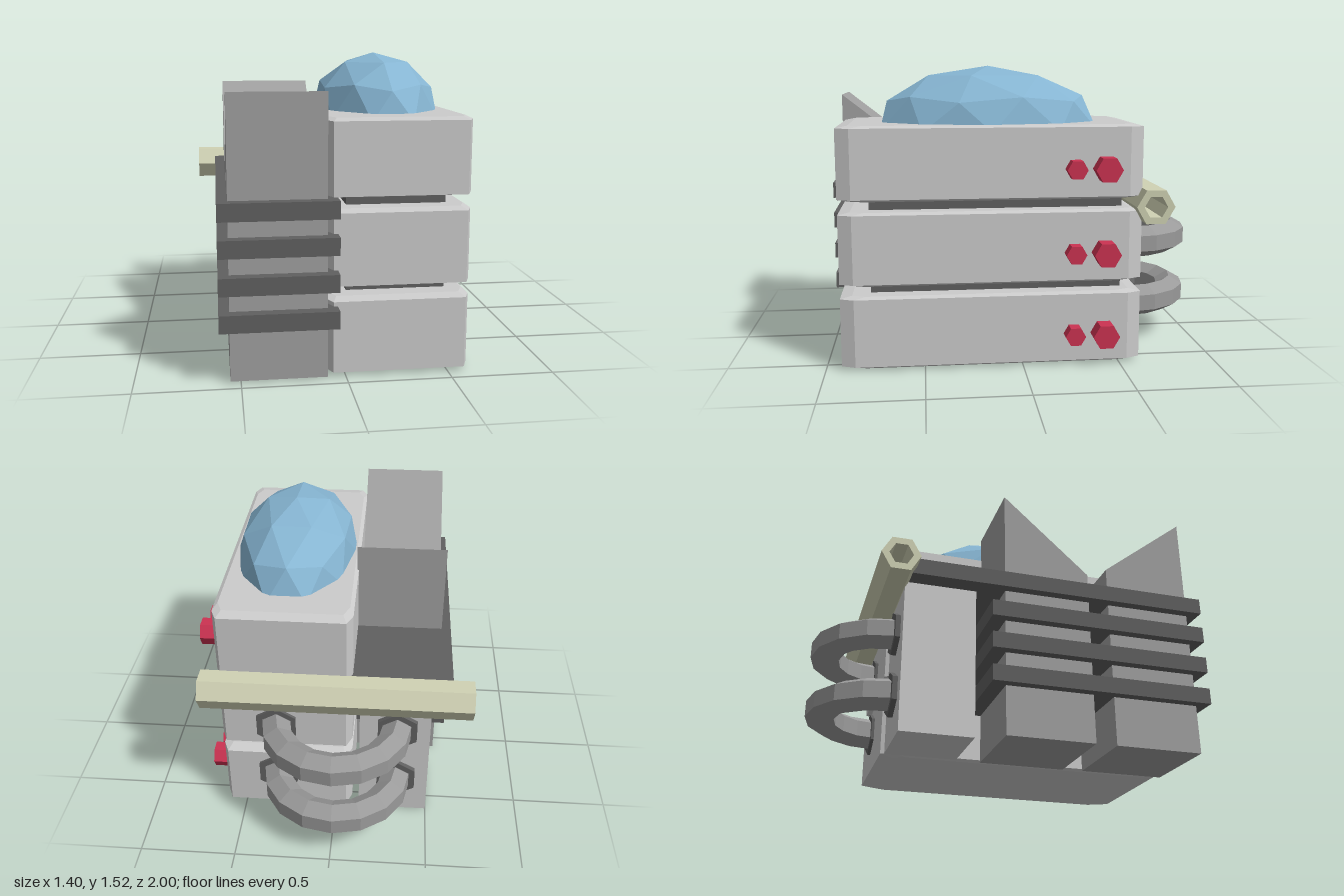
import * as THREE from 'three';
import { ConvexGeometry } from 'three/addons/geometries/ConvexGeometry.js';

const mat = (color) => new THREE.MeshStandardMaterial({ color, flatShading: true });
const light = mat(0xcccccc), mid = mat(0xa0a0a0), dark = mat(0x606060);
const blue = mat(0x86b5d2), red = mat(0xcc3352), beige = mat(0xd0d2b4);

export function createModel() {
  const model = new THREE.Group();

  const add = (name, geometry, material, x = 0, y = 0, z = 0) => {
    const mesh = new THREE.Mesh(geometry, material);
    mesh.name = name;
    mesh.position.set(x, y, z);
    model.add(mesh);
    return mesh;
  };

  // Box given by its limits on each axis
  const box = (name, material, [x0, x1], [y0, y1], [z0, z1]) =>
    add(name, new THREE.BoxGeometry(x1 - x0, y1 - y0, z1 - z0), material,
      (x0 + x1) / 2, (y0 + y1) / 2, (z0 + z1) / 2);

  // Block with cut corners and shallow bevels above and below
  const chamferedBlock = (hx, hy, hz) => {
    const points = [];
    for (const [y, ix, iz] of [[hy, 0.02, 0.06], [hy - 0.012, 0, 0]]) {
      for (const sx of [-1, 1]) for (const sy of [-1, 1]) for (const sz of [-1, 1]) {
        points.push(new THREE.Vector3(sx * (hx - ix), sy * y, sz * (hz - iz - 0.07)));
        points.push(new THREE.Vector3(sx * (hx - ix - 0.03), sy * y, sz * (hz - iz)));
      }
    }
    return new ConvexGeometry(points);
  };

  // Hexagonal bar along x, corners pointing to front and back
  const hexBar = (radius, length) =>
    new THREE.CylinderGeometry(radius, radius, length, 6).rotateZ(Math.PI / 2);

  // Three stacked blocks on a dark core, each with a pair of side bolts
  for (const y of [0.195, 0.62, 1.047]) {
    add('mainBlock', chamferedBlock(0.35, 0.187, 0.765), light, 0.26, y, 0.155);
  }
  box('core', dark, [0.02, 0.51], [0.1, 1.1], [-0.52, 0.77]);
  for (const y of [0.165, 0.588, 1.015]) {
    add('largeBolt', hexBar(0.068, 0.12), red, 0.64, y, -0.415);
    add('smallBolt', hexBar(0.052, 0.1), red, 0.63, y, -0.26);
  }

  // Faceted dome, a vertex at its peak
  const dome = new THREE.IcosahedronGeometry(1, 1)
    .rotateX(-Math.atan((1 + Math.sqrt(5)) / 2))
    .scale(0.335, 0.325, 0.59);
  add('dome', dome, blue, 0.26, 1.195, 0.15);

  // Side towers with slanted tops that face each other
  const tower = (name, x1, zHigh, zLow, yLow) => {
    const points = [];
    for (const x of [-0.55, x1]) {
      for (const [y, z] of [[0.01, zHigh], [1.36, zHigh], [0.01, zLow], [yLow, zLow]]) {
        points.push(new THREE.Vector3(x, y, z));
      }
    }
    add(name, new ConvexGeometry(points), mid);
  };
  tower('frontTower', -0.09, 0.94, 0.48, 1.0);
  tower('middleTower', -0.082, -0.09, 0.37, 0.95);
  box('rearColumn', light, [-0.5, -0.13], [0, 0.8], [-0.6, -0.23]);

  // Cooling fins; the top one reaches over the rear column
  [0.265, 0.44, 0.615, 0.785].forEach((y, i) =>
    box('fin', dark, [-0.6, -0.04], [y, y + 0.085], [i === 3 ? -0.58 : -0.17, 1]));

  // Hollow hexagonal pipe across the back
  const hexPoints = (r) => Array.from({ length: 6 }, (_, i) =>
    new THREE.Vector2(r * Math.cos(i * Math.PI / 3), r * Math.sin(i * Math.PI / 3)));
  const pipeShape = new THREE.Shape(hexPoints(0.098));
  pipeShape.holes.push(new THREE.Path(hexPoints(0.06)));
  const pipe = new THREE.ExtrudeGeometry(pipeShape, { depth: 1.38, bevelEnabled: false })
    .translate(0, 0, -0.69).rotateY(Math.PI / 2);
  add('backPipe', pipe, beige, -0.01, 0.825, -0.657);

  // Curved hoses with hexagonal section and end nuts
  const section = Array.from({ length: 7 }, (_, i) => {
    const a = i * Math.PI / 3 + Math.PI / 6;
    return new THREE.Vector2(0.318 + 0.085 * Math.cos(a), 0.085 * Math.sin(a));
  });
  const hose = new THREE.LatheGeometry(section, 8, Math.PI / 2, Math.PI);
  const hoseMaterial = mat(0x9a9a9a);
  hoseMaterial.side = THREE.DoubleSide;
  const nut = new THREE.CylinderGeometry(0.118, 0.118, 0.04, 6).rotateX(Math.PI / 2);
  for (const y of [0.24, 0.57]) {
    add('hose', hose, hoseMaterial, -0.01, y, -0.608);
    for (const side of [-1, 1]) {
      add('hoseNut', nut, dark, -0.01 + side * 0.318, y, -0.606);
    }
  }

  return model;
}
